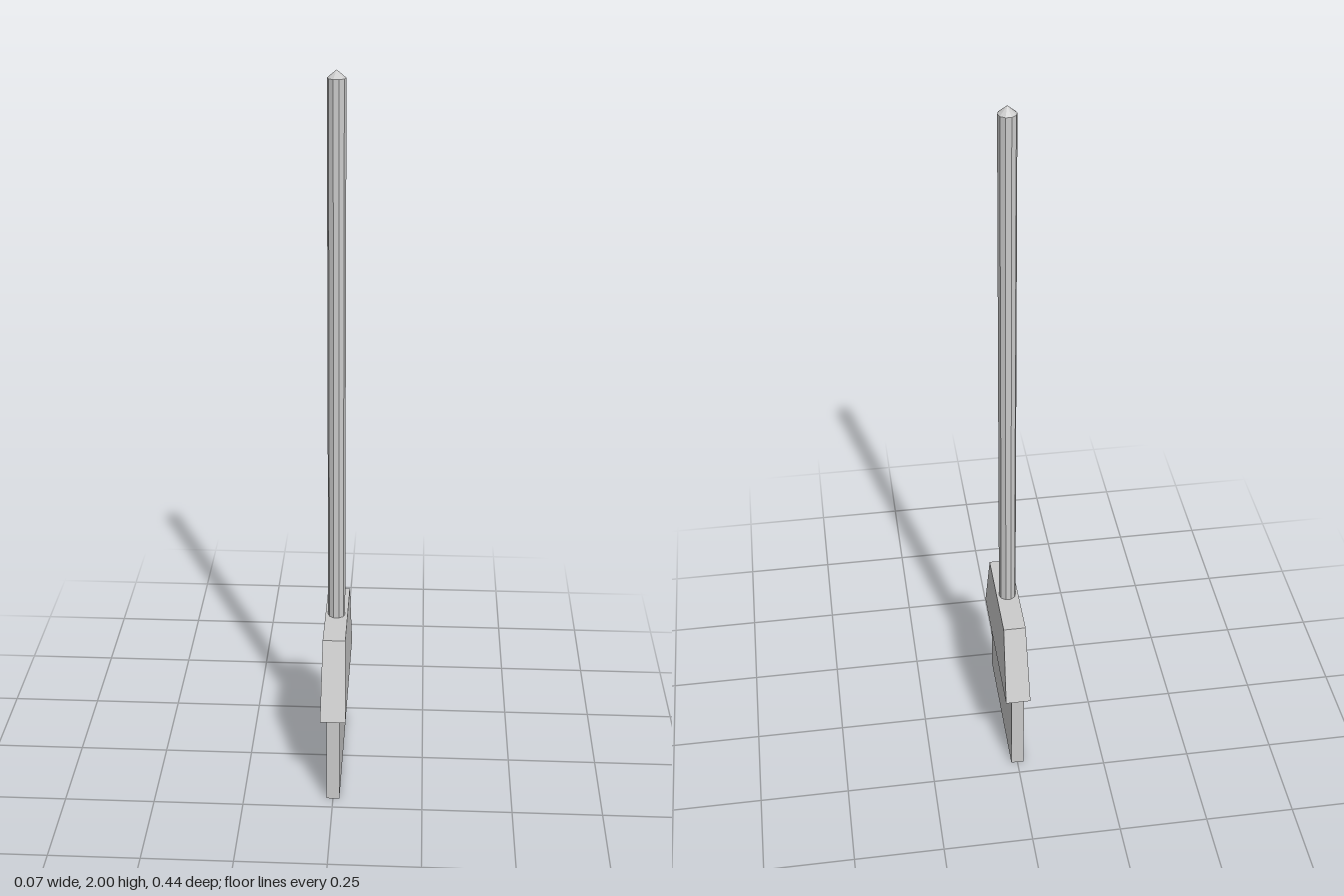
import * as THREE from 'three';

const grey = new THREE.MeshStandardMaterial({ color: 0xcccccc, flatShading: true });

function part(name, geometry, y) {
  const mesh = new THREE.Mesh(geometry, grey);
  mesh.name = name;
  mesh.position.y = y;
  return mesh;
}

// Box whose top face is scaled in x and z
function taperedBox(w, h, d, topW, topD) {
  const g = new THREE.BoxGeometry(w, h, d);
  const p = g.attributes.position;
  for (let i = 0; i < p.count; i++) {
    if (p.getY(i) > 0) {
      p.setX(i, p.getX(i) * topW / w);
      p.setZ(i, p.getZ(i) * topD / d);
    }
  }
  g.computeVertexNormals();
  return g;
}

export function createModel() {
  const group = new THREE.Group();
  const sides = 10;
  const radius = 0.024;

  // Flat lower block
  group.add(part('bristles', new THREE.BoxGeometry(0.036, 0.26, 0.42), 0.13));

  // Tapered holder overhanging the bristles
  group.add(part('head', taperedBox(0.07, 0.215, 0.442, 0.062, 0.292), 0.3675));

  // Long faceted handle with a shallow pointed end, turned so corners face the sides
  const shaft = new THREE.CylinderGeometry(radius, radius, 1.51, sides, 1, true);
  const tip = new THREE.ConeGeometry(radius, 0.02, sides, 1, true);
  for (const g of [shaft, tip]) g.rotateY(Math.PI / 2);
  group.add(part('handle', shaft, 1.225));
  group.add(part('handleTip', tip, 1.99));

  return group;
}
